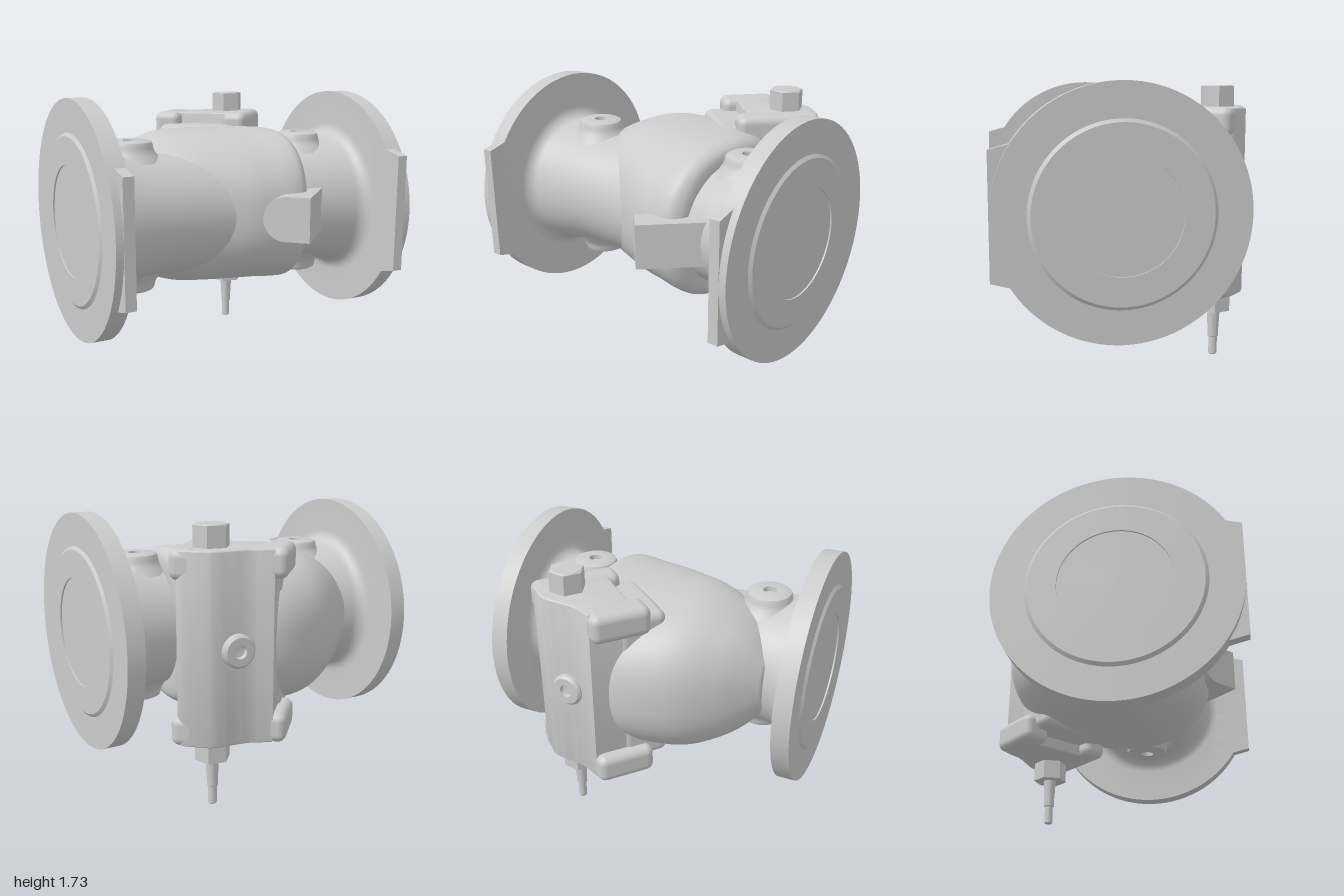
import * as THREE from 'three';
import { toCreasedNormals } from 'three/addons/utils/BufferGeometryUtils.js';
import { RoundedBoxGeometry } from 'three/addons/geometries/RoundedBoxGeometry.js';

const AXIS_Y = 1, AXIS_Z = 0.117;
const material = new THREE.MeshStandardMaterial({ color: 0xcccccc });

function add(parent, name, geometry, x = 0, y = 0, z = 0) {
  const mesh = new THREE.Mesh(geometry, material);
  mesh.name = name;
  mesh.position.set(x, y, z);
  parent.add(mesh);
  return mesh;
}

const lathe = (points, segments = 64) => toCreasedNormals(
  new THREE.LatheGeometry(points.map(([r, y]) => new THREE.Vector2(r, y)), segments), 0.5);

const polygon = (points) => new THREE.Shape(points.map(([x, y]) => new THREE.Vector2(x, y)));

// Flanged pipe: one half profile [radius, axial], mirrored
function pipeGeometry() {
  const half = [[0, -0.99], [0.34, -0.99], [0.34, -1], [0.51, -1], [0.53, -0.985],
    [0.732, -0.985], [0.732, -0.875]];
  for (let i = 0; i <= 8; i++) {
    const a = (i / 8) * Math.PI / 2;
    half.push([0.515 - 0.085 * Math.sin(a), -0.79 - 0.085 * Math.cos(a)]);
  }
  half.push([0.385, -0.55]);
  const mirrored = half.map(([r, a]) => [r, -a]).reverse();
  return lathe([...half, ...mirrored], 96).rotateZ(-Math.PI / 2);
}

// Swollen body: superellipse sections along x [x, zBack, zFront, halfHeight]
function bodyGeometry() {
  const stations = [
    [-0.72, -0.32, 0.08, 0.2], [-0.62, -0.42, 0.2, 0.32], [-0.5, -0.53, 0.29, 0.405],
    [-0.3, -0.66, 0.4, 0.485], [-0.1, -0.72, 0.49, 0.5], [0.05, -0.73, 0.55, 0.5],
    [0.2, -0.69, 0.58, 0.5], [0.33, -0.58, 0.597, 0.5], [0.41, -0.48, 0.585, 0.492],
    [0.455, -0.4, 0.54, 0.46], [0.47, -0.32, 0.48, 0.41], [0.47, -0.22, 0.4, 0.32],
  ];
  const curves = [0, 2].map((k) => new THREE.CatmullRomCurve3(stations.map((s) =>
    k ? new THREE.Vector3(s[0], s[3], 0) : new THREE.Vector3(s[0], s[1], s[2]))));
  const rows = 66, cols = 72, positions = [], index = [];
  for (let i = 0; i <= rows; i++) {
    const p = curves[0].getPoint(i / rows), h = curves[1].getPoint(i / rows).y;
    const mid = (p.y + p.z) / 2, w = (p.z - p.y) / 2;
    for (let j = 0; j < cols; j++) {
      const a = (j / cols) * Math.PI * 2;
      const power = (v) => Math.sign(v) * Math.abs(v) ** (2 / 2.4);
      const z = mid + w * power(Math.cos(a));
      const lean = THREE.MathUtils.smoothstep(p.x, 0.1, 0.45) * 0.09 * (0.15 - z);
      positions.push(p.x + lean, h * power(Math.sin(a)), z);
      if (i < rows) {
        const b = i * cols + j, c = i * cols + (j + 1) % cols;
        index.push(b, b + cols, c, c, b + cols, c + cols);
      }
    }
  }
  // close both ends
  for (const [row, flip] of [[0, false], [rows, true]]) {
    const s = stations[flip ? stations.length - 1 : 0];
    const centre = positions.length / 3;
    positions.push(s[0], 0, (s[1] + s[2]) / 2);
    for (let j = 0; j < cols; j++) {
      const b = row * cols + j, c = row * cols + (j + 1) % cols;
      index.push(centre, flip ? c : b, flip ? b : c);
    }
  }
  const g = new THREE.BufferGeometry();
  g.setAttribute('position', new THREE.Float32BufferAttribute(positions, 3));
  g.setIndex(index);
  // orient the shell outward
  g.computeVertexNormals();
  const k = 33 * cols + 18;
  if (g.attributes.normal.getY(k) < 0) {
    for (let i = 0; i < index.length; i += 3) [index[i], index[i + 1]] = [index[i + 1], index[i]];
    g.setIndex(index);
    g.computeVertexNormals();
  }
  return g;
}

// Bolted cover in a frame turned so that local -z points outward
function buildCover() {
  const cover = new THREE.Group();
  cover.name = 'cover';
  cover.position.y = AXIS_Y;
  cover.rotation.y = -THREE.MathUtils.degToRad(42);

  const plan = new THREE.Shape();
  plan.moveTo(-0.4, 0.44);
  plan.lineTo(0.09, 0.44);
  plan.lineTo(0.11, 0.83);
  plan.quadraticCurveTo(0.1, 0.86, 0.06, 0.86);
  plan.lineTo(-0.07, 0.86);
  plan.bezierCurveTo(-0.15, 0.84, -0.24, 0.72, -0.34, 0.71);
  plan.lineTo(-0.4, 0.69);
  const slab = new THREE.ExtrudeGeometry(plan, { depth: 1.12, bevelThickness: 0.015,
    bevelSize: 0.015, bevelSegments: 3, curveSegments: 16 });
  add(cover, 'coverPlate', toCreasedNormals(slab.rotateX(-Math.PI / 2).translate(0, -0.56, 0), 0.5));
  add(cover, 'bodyNeck', new RoundedBoxGeometry(0.53, 1, 0.3, 4, 0.05), -0.16, 0, -0.37);

  // corner ears [u, width, inner, outer]
  for (const s of [-1, 1]) {
    for (const [u, w, n0, n1] of [[-0.4, 0.18, 0.34, 0.705], [0.08, 0.165, 0.34, 0.875]]) {
      add(cover, 'boltEar', new RoundedBoxGeometry(w, 0.18, n1 - n0, 5, 0.05), u, s * 0.49, -(n0 + n1) / 2);
    }
  }
  return cover;
}

export function createModel() {
  const model = new THREE.Group();
  model.name = 'checkValve';

  add(model, 'flangedPipe', pipeGeometry(), 0, AXIS_Y, AXIS_Z);
  add(model, 'valveBody', bodyGeometry(), 0, AXIS_Y, 0);
  model.add(buildCover());

  // Tapping bosses above and below both pipe ends
  const bossProfile = [[0.2, 0.34], [0.175, 0.375], [0.155, 0.4], [0.145, 0.425], [0.142, 0.445],
    [0.135, 0.46], [0.115, 0.47], [0.042, 0.47], [0.04, 0.44], [0, 0.43]];
  for (const x of [-0.608, 0.608]) {
    for (const s of [1, -1]) {
      const boss = add(model, 'tappingBoss', lathe(bossProfile, 48), x, AXIS_Y, AXIS_Z);
      if (s < 0) boss.rotation.x = Math.PI;
    }
  }

  // Straight foot plates on the front of each flange
  const footShape = polygon([[0.6, -0.43], [0.85, -0.365], [0.85, 0.365], [0.6, 0.43]]);
  for (const x of [-0.875, 0.94]) {
    const foot = new THREE.ExtrudeGeometry(footShape, { depth: 0.065, bevelEnabled: false });
    add(model, 'flangeFoot', foot.rotateY(-Math.PI / 2), x, AXIS_Y, 0);
  }

  // Front lug with a rounded nose
  const lugShape = new THREE.Shape();
  lugShape.moveTo(0, -0.14);
  lugShape.lineTo(0, 0.14);
  lugShape.lineTo(-0.15, 0.14);
  lugShape.absarc(-0.15, 0, 0.14, Math.PI / 2, Math.PI * 1.5, false);
  const lug = new THREE.ExtrudeGeometry(lugShape, { depth: 0.44, bevelEnabled: false, curveSegments: 24 });
  add(model, 'frontLug', toCreasedNormals(lug.translate(0, 0, -0.44), 0.5), 0.285, AXIS_Y, 0.77)
    .rotation.y = -Math.PI / 4;

  // Plug on the sloped face of the cover
  add(model, 'coverPlug', lathe([[0.1, -0.06], [0.1, 0.02], [0.085, 0.035], [0.04, 0.035], [0.035, 0.01], [0, 0.005]], 40),
    0.36, AXIS_Y, -0.735).rotation.set(-Math.PI / 2, 0, -0.08);

  // Hinge shaft: hex nuts at both ends and a stepped spindle below
  const shaft = new THREE.Group();
  shaft.name = 'hingeShaft';
  shaft.position.set(0.43, 0, -0.55);
  model.add(shaft);
  const hex = toCreasedNormals(new THREE.CylinderGeometry(0.11, 0.11, 0.125, 6), 0.3);
  for (const y of [1.64, 0.36]) add(shaft, 'hexNut', hex, 0, y, 0).rotation.y = 0.35;
  add(shaft, 'nutFace', new THREE.CylinderGeometry(0.09, 0.095, 0.006, 32), 0, 1.705, 0);
  add(shaft, 'spindle', lathe([[0, 0], [0.022, 0], [0.027, 0.006], [0.027, 0.115], [0.034, 0.12],
    [0.034, 0.16], [0.042, 0.31]], 32));
  return model;
}
